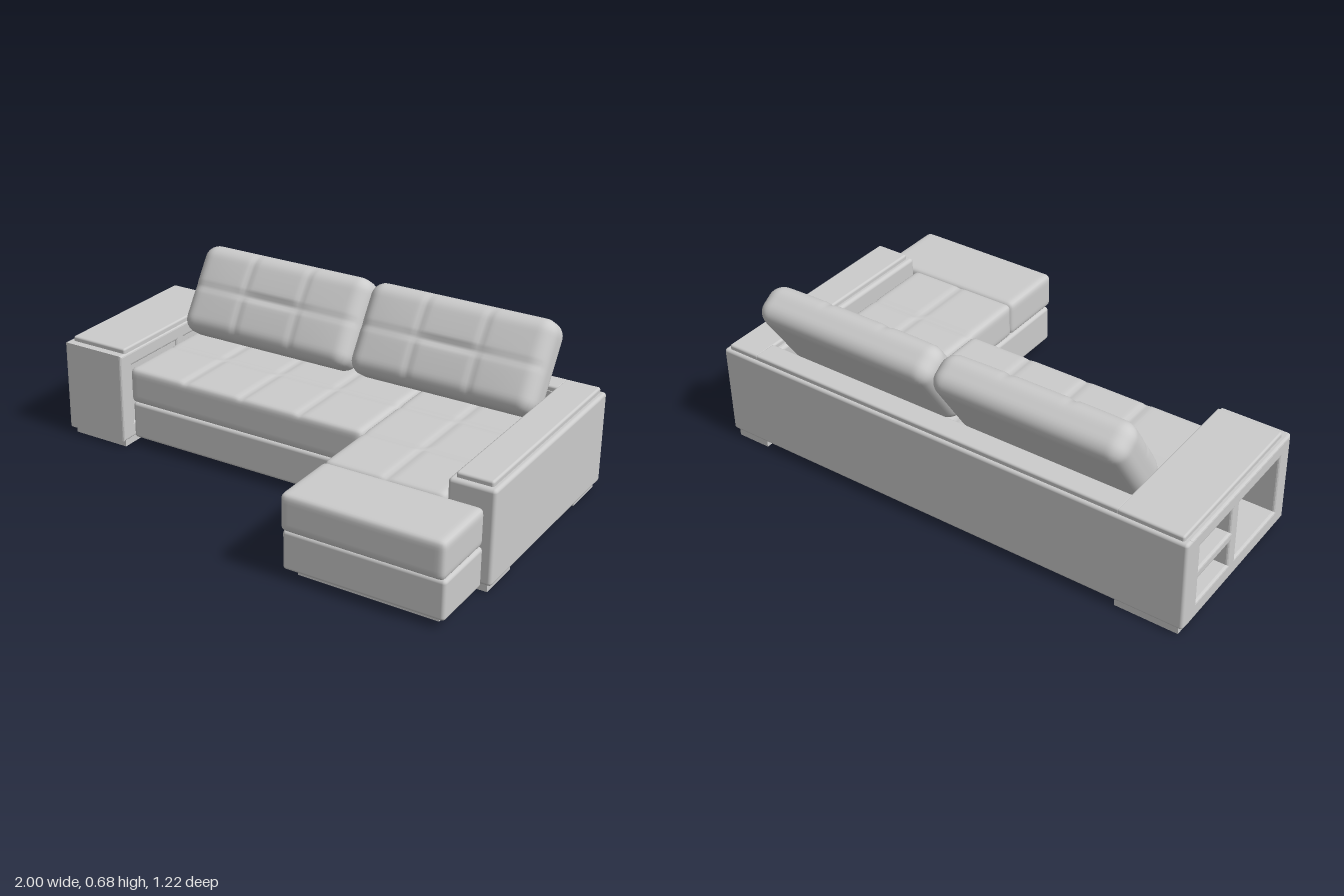
import * as THREE from 'three';
import { mergeVertices } from 'three/addons/utils/BufferGeometryUtils.js';
import { RoundedBoxGeometry } from 'three/addons/geometries/RoundedBoxGeometry.js';

const grey = new THREE.MeshStandardMaterial({ color: 0xcccccc });

function addMesh(parent, name, geometry) {
  const mesh = new THREE.Mesh(geometry, grey);
  mesh.name = name;
  parent.add(mesh);
  return mesh;
}

// Rounded block given by its min and max along each axis
function block(parent, name, [x0, x1], [y0, y1], [z0, z1], r) {
  const [w, h, d] = [x1 - x0, y1 - y0, z1 - z0];
  const geometry = r ? new RoundedBoxGeometry(w, h, d, 3, r) : new THREE.BoxGeometry(w, h, d);
  const mesh = addMesh(parent, name, geometry);
  mesh.position.set((x0 + x1) / 2, (y0 + y1) / 2, (z0 + z1) / 2);
  return mesh;
}

// Upholstered block: rounded edges, crowned top and stitched grooves.
// seamsX and seamsZ are local positions; pinch deepens the middle crease.
function upholstery(w, h, d, r, { seamsX = [], seamsZ = [], crown = 0, pinch = 0 }) {
  const step = 0.013;
  const g = new THREE.BoxGeometry(w, h, d, Math.ceil(w / step), Math.ceil(h / step), Math.ceil(d / step));
  const half = new THREE.Vector3(w / 2, h / 2, d / 2);
  const inner = half.clone().subScalar(r);
  const outer = inner.clone().negate();
  const pos = g.attributes.position;
  const p = new THREE.Vector3(), c = new THREE.Vector3();
  const groove = (t, s) => Math.exp(-(((t - s) / 0.013) ** 2));
  for (let i = 0; i < pos.count; i++) {
    p.fromBufferAttribute(pos, i);
    c.copy(p).clamp(outer, inner);
    p.sub(c).setLength(r).add(c);
    const top = THREE.MathUtils.clamp((p.y - inner.y) / r, 0, 1);
    const dome = (1 - (p.x / half.x) ** 4) * (1 - (p.z / half.z) ** 2);
    let sink = 0;
    for (const s of seamsX) sink = Math.max(sink, 0.006 * groove(p.x, s));
    for (const s of seamsZ) {
      const middle = pinch * Math.exp(-((p.x / 0.15) ** 4));
      sink = Math.max(sink, (0.006 + middle) * groove(p.z, s));
    }
    p.y += top * (crown * dome - sink);
    pos.setXYZ(i, p.x, p.y, p.z);
  }
  g.deleteAttribute('uv');
  g.deleteAttribute('normal');
  const merged = mergeVertices(g, 1e-5);
  merged.computeVertexNormals();
  return merged;
}

// Seat pad placed by its extents, with seams given in model coordinates
function seatPad(parent, name, [x0, x1], [y0, y1], [z0, z1], seamsX, seamsZ) {
  const cx = (x0 + x1) / 2, cz = (z0 + z1) / 2;
  const mesh = addMesh(parent, name, upholstery(x1 - x0, y1 - y0, z1 - z0, 0.022, {
    seamsX: seamsX.map((s) => s - cx),
    seamsZ: seamsZ.map((s) => s - cz),
  }));
  mesh.position.set(cx, (y0 + y1) / 2, cz);
}

function rectangle(target, x0, x1, y0, y1) {
  target.moveTo(x0, y0);
  target.lineTo(x1, y0);
  target.lineTo(x1, y1);
  target.lineTo(x0, y1);
  target.closePath();
  return target;
}

// Wide arm with three open compartments in its outer side
function shelfArm(parent) {
  const arm = new THREE.Group();
  arm.name = 'shelfArm';
  const b = 0.01;
  // The profile's x runs along -z of the model
  const side = rectangle(new THREE.Shape(), -0.11 + b, 0.58 - b, 0.03 + b, 0.40 - b);
  for (const [z0, z1, y0, y1] of [
    [-0.53, -0.295, 0.085, 0.21],
    [-0.53, -0.295, 0.23, 0.35],
    [-0.265, 0.05, 0.085, 0.35],
  ]) side.holes.push(rectangle(new THREE.Path(), -z1, -z0, y0, y1));
  const frame = addMesh(arm, 'shelfFrame', new THREE.ExtrudeGeometry(side, {
    depth: 0.28 - 2 * b, bevelThickness: b, bevelSize: b, bevelSegments: 3,
  }));
  frame.rotation.y = Math.PI / 2;
  frame.position.x = -1 + b;
  block(arm, 'shelfBackPanel', [-0.76, -0.73], [0.05, 0.38], [-0.56, 0.08]);
  block(arm, 'shelfArmTop', [-0.98, -0.725], [0.39, 0.42], [-0.598, 0.08], 0.008);
  parent.add(arm);
}

export function createModel() {
  const sofa = new THREE.Group();
  sofa.name = 'cornerSofa';

  // Arms and back
  shelfArm(sofa);
  block(sofa, 'narrowArm', [0.82, 1], [0.03, 0.40], [-0.60, 0.315], 0.014);
  block(sofa, 'narrowArmTop', [0.84, 0.98], [0.39, 0.42], [-0.598, 0.295], 0.009);
  block(sofa, 'backPanel', [-1, 1], [0.03, 0.40], [-0.61, -0.545], 0.012);
  block(sofa, 'backInner', [-0.73, 0.83], [0.03, 0.40], [-0.56, -0.50]);
  block(sofa, 'backTop', [-0.735, 0.85], [0.39, 0.42], [-0.598, -0.505], 0.008);

  // Main seat
  block(sofa, 'seatBase', [-0.713, 0.338], [0.033, 0.188], [-0.51, 0.055], 0.014);
  seatPad(sofa, 'seatCushion', [-0.715, 0.34], [0.19, 0.338], [-0.51, 0.065],
    [-0.45, -0.19, 0.07], [-0.21]);

  // Chaise: long part beside the arm, wider end in front of it
  block(sofa, 'chaiseBase', [0.342, 0.818], [0.033, 0.188], [-0.51, 0.35], 0.014);
  block(sofa, 'chaiseEndBase', [0.342, 0.97], [0.033, 0.188], [0.326, 0.595], 0.014);
  seatPad(sofa, 'chaiseCushion', [0.342, 0.82], [0.19, 0.338], [-0.51, 0.33],
    [0.59], [-0.21, 0.055]);
  seatPad(sofa, 'chaiseEndCushion', [0.342, 0.97], [0.19, 0.338], [0.325, 0.612], [], []);

  // Leaning back cushions
  const cushion = upholstery(0.78, 0.155, 0.37, 0.058, {
    seamsX: [-0.13, 0.13], seamsZ: [0], crown: 0.012, pinch: 0.01,
  });
  for (const [name, x] of [['rightBackCushion', -0.338], ['leftBackCushion', 0.446]]) {
    const mesh = addMesh(sofa, name, cushion);
    mesh.rotation.x = THREE.MathUtils.degToRad(57);
    mesh.position.set(x, 0.505, -0.445);
  }

  // Flat feet
  for (const [x, z] of [
    [[-0.98, -0.73], [-0.09, 0.09]],
    [[-0.98, -0.73], [-0.60, -0.42]],
    [[0.84, 0.98], [0.12, 0.30]],
    [[0.84, 0.98], [-0.60, -0.42]],
    [[0.38, 0.93], [0.37, 0.55]],
  ]) block(sofa, 'foot', x, [0, 0.04], z);

  return sofa;
}
